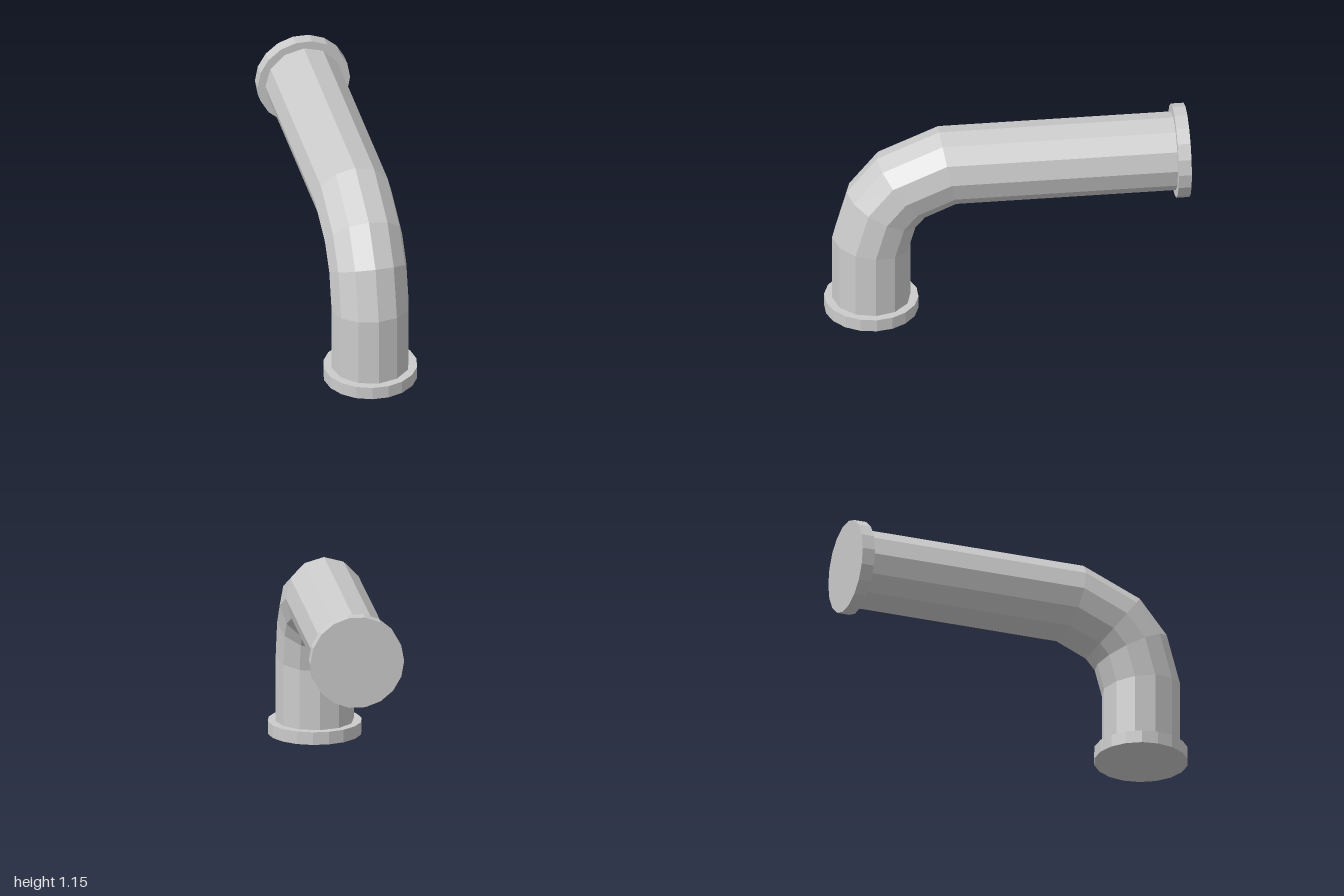
import * as THREE from 'three';

const SIDES = 12, RADIUS = 0.217;
const material = new THREE.MeshStandardMaterial({ color: 0xcccccc, flatShading: true });

// Mitred rings of the pipe: outer and inner bend points as [z, y]
const RINGS = [
  { outer: [0.961, 0.03], inner: [0.527, 0.03] },
  { outer: [0.961, 0.466], inner: [0.527, 0.408] },
  { outer: [0.88, 0.755], inner: [0.487, 0.55] },
  { outer: [0.713, 0.959], inner: [0.442, 0.602] },
  { outer: [0.368, 1.107], inner: [0.281, 0.673] },
  { outer: [-0.96, 1.107], inner: [-0.96, 0.673] },
];

function pipeGeometry() {
  const positions = [], indices = [];
  for (const { outer, inner } of RINGS) {
    for (let j = 0; j < SIDES; j++) {
      const a = (j / SIDES) * Math.PI * 2;
      const t = (1 + Math.cos(a)) / 2;
      positions.push(
        RADIUS * Math.sin(a),
        THREE.MathUtils.lerp(inner[1], outer[1], t),
        THREE.MathUtils.lerp(inner[0], outer[0], t),
      );
    }
  }
  for (let i = 0; i < RINGS.length - 1; i++) {
    for (let j = 0; j < SIDES; j++) {
      const k = (j + 1) % SIDES;
      const a = i * SIDES + j, b = i * SIDES + k;
      indices.push(a, b, b + SIDES, a, b + SIDES, a + SIDES);
    }
  }
  const geometry = new THREE.BufferGeometry();
  geometry.setAttribute('position', new THREE.Float32BufferAttribute(positions, 3));
  geometry.setIndex(indices);
  const flat = geometry.toNonIndexed();
  flat.computeVertexNormals();
  return flat;
}

// Closed 18-sided collar with a corner on each side of the model
function flange(name) {
  const geometry = new THREE.CylinderGeometry(0.26, 0.26, 0.072, 18);
  geometry.rotateY(Math.PI / 18);
  const mesh = new THREE.Mesh(geometry, material);
  mesh.name = name;
  return mesh;
}

export function createModel() {
  const group = new THREE.Group();
  group.name = 'bentPipe';

  const pipe = new THREE.Mesh(pipeGeometry(), material);
  pipe.name = 'pipe';

  const bottom = flange('bottomFlange');
  bottom.position.set(0, 0.036, 0.744);

  const back = flange('backFlange');
  back.rotation.x = -Math.PI / 2;
  back.position.set(0, 0.89, -0.964);

  group.add(pipe, bottom, back);
  return group;
}
